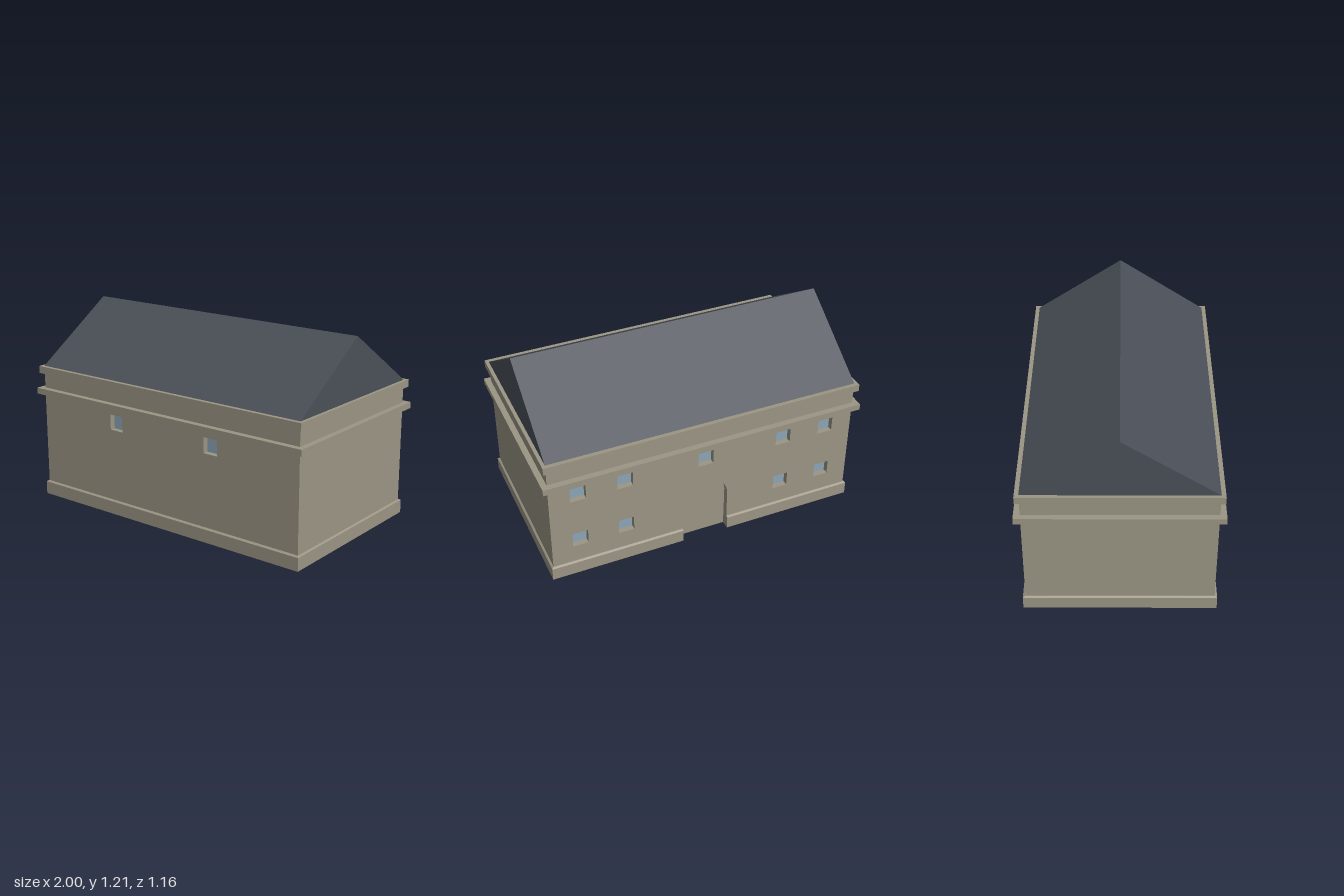
import * as THREE from 'three';

const stone = new THREE.MeshStandardMaterial({ color: 0x9b9584, flatShading: true });
const slate = new THREE.MeshStandardMaterial({ color: 0x4b5058, flatShading: true });
const glass = new THREE.MeshStandardMaterial({ color: 0x8ba6b6, flatShading: true });

const W = 0.965, D = 0.543, EAVES = 0.845, RIDGE = 1.205; // half width, half depth, heights
const RECESS = 0.04, WIN = 0.095;                          // reveal depth, window size
const DOOR = 0.146, SPRING = 0.268;                        // door half width, arch spring line
const INNER = D - RECESS;

const polygon = (pts) => new THREE.Shape(pts.map(([x, y]) => new THREE.Vector2(x, y)));
const extrude = (shape, depth) =>
  new THREE.ExtrudeGeometry(shape, { depth, bevelEnabled: false, curveSegments: 24 });

export function createModel() {
  const model = new THREE.Group();
  model.name = 'house';

  const add = (name, geometry, material, x = 0, y = 0, z = 0) => {
    const mesh = new THREE.Mesh(geometry, material);
    mesh.name = name;
    mesh.position.set(x, y, z);
    model.add(mesh);
    return mesh;
  };
  const slab = (name, hx, hz, y0, y1) =>
    add(name, new THREE.BoxGeometry(hx * 2, y1 - y0, hz * 2), stone, 0, (y0 + y1) / 2, 0);

  // Solid core; the front and back walls are pierced skins laid over it
  slab('wallCore', W, INNER, 0, EAVES);

  const facade = (name, outline, windows, side) => {
    const h = WIN / 2;
    for (const [x, y] of windows) {
      outline.holes.push(new THREE.Path([[-h, -h], [-h, h], [h, h], [h, -h]]
        .map(([a, b]) => new THREE.Vector2(x + a, y + b))));
      add(name + 'WindowPane', new THREE.BoxGeometry(WIN, WIN, 0.01), glass, x, y, side * INNER);
    }
    add(name, extrude(outline, RECESS), stone, 0, 0, side > 0 ? INNER : -D);
  };

  // Front wall with two upper windows
  facade('frontWall', polygon([[-W, 0], [W, 0], [W, EAVES], [-W, EAVES]]),
    [[-0.36, 0.582], [0.36, 0.582]], 1);

  // Back wall with arched doorway and nine windows
  const back = new THREE.Shape();
  back.moveTo(-W, 0);
  back.lineTo(-DOOR, 0);
  back.lineTo(-DOOR, SPRING);
  back.absarc(0, SPRING, DOOR, Math.PI, 0, true);
  back.lineTo(DOOR, 0);
  back.lineTo(W, 0);
  back.lineTo(W, EAVES);
  back.lineTo(-W, EAVES);
  const backWindows = [[0, 0.582]];
  for (const x of [-0.79, -0.505, 0.505, 0.79])
    for (const y of [0.246, 0.582]) backWindows.push([x, y]);
  facade('backWall', back, backWindows, -1);

  // Plinth, notched at the doorway, with a small sloping top edge
  const px = 0.977, pz = 0.558, notch = INNER - 0.005;
  const plan = polygon([[-px, -pz], [px, -pz], [px, pz], [DOOR, pz], [DOOR, notch],
    [-DOOR, notch], [-DOOR, pz], [-px, pz]]);
  add('plinth', extrude(plan, 0.08).rotateX(-Math.PI / 2), stone);
  const weathering = extrude(plan, 0.007).rotateX(-Math.PI / 2);
  const p = weathering.attributes.position;
  for (let i = 0; i < p.count; i++) {
    if (p.getY(i) < 0.003) continue;
    if (Math.abs(p.getX(i)) > W) p.setX(i, Math.sign(p.getX(i)) * (W + 0.004));
    if (Math.abs(p.getZ(i)) > D) p.setZ(i, Math.sign(p.getZ(i)) * (D + 0.004));
  }
  weathering.computeVertexNormals();
  add('plinthTopEdge', weathering, stone, 0, 0.08, 0);

  // String course and cornice
  slab('stringCourse', 1, 0.58, 0.667, 0.705);
  slab('cornice', 0.986, 0.568, 0.8, EAVES);

  // Gabled roof
  const roof = extrude(polygon([[-D, EAVES], [D, EAVES], [0, RIDGE]]), W * 2);
  roof.translate(0, 0, -W).rotateY(Math.PI / 2);
  add('roof', roof, slate);

  return model;
}
